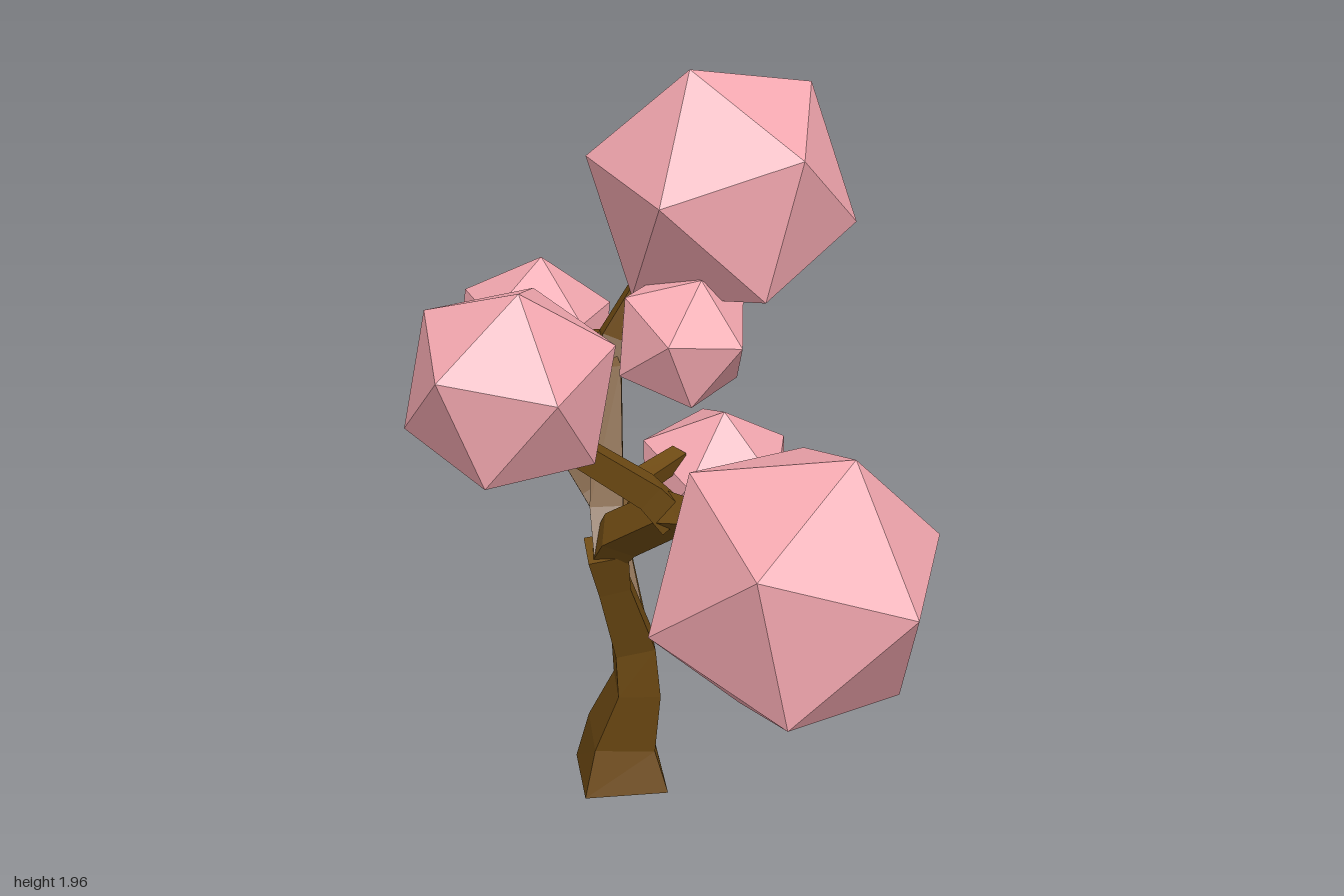
import * as THREE from 'three';

const V = (a) => new THREE.Vector3(...a);

// Four-sided tapering limb; each point is [x, y, z, corner radius]
function limbGeometry(points, ref = [0, 0, 1]) {
  const centres = points.map((p) => V(p.slice(0, 3)));
  const u = V(ref);
  const rings = centres.map((c, i) => {
    const before = centres[Math.max(i - 1, 0)];
    const after = centres[Math.min(i + 1, centres.length - 1)];
    const t = new THREE.Vector3();
    if (i > 0) t.add(c.clone().sub(before).normalize());
    if (i < centres.length - 1) t.add(after.clone().sub(c).normalize());
    t.normalize();
    u.addScaledVector(t, -u.dot(t)).normalize();
    const v = t.clone().cross(u);
    return [0, 1, 2, 3].map((k) => {
      const a = (k * Math.PI) / 2;
      return c.clone()
        .addScaledVector(u, Math.cos(a) * points[i][3])
        .addScaledVector(v, Math.sin(a) * points[i][3]);
    });
  });
  const pos = [];
  const quad = (a, b, c, d) => [a, b, c, a, c, d].forEach((p) => pos.push(p.x, Math.max(p.y, 0), p.z));
  for (let i = 0; i < rings.length - 1; i++) {
    for (let k = 0; k < 4; k++) {
      const n = (k + 1) % 4;
      quad(rings[i][k], rings[i][n], rings[i + 1][n], rings[i + 1][k]);
    }
  }
  quad(...[...rings[0]].reverse());
  quad(...rings[rings.length - 1]);
  const g = new THREE.BufferGeometry();
  g.setAttribute('position', new THREE.Float32BufferAttribute(pos, 3));
  g.computeVertexNormals();
  return g;
}

// Orthonormal frame from two directions
function frame(a, b) {
  const x = a.clone().normalize();
  const y = b.clone().addScaledVector(x, -b.dot(x)).normalize();
  return new THREE.Matrix4().makeBasis(x, y, x.clone().cross(y));
}

// Icosahedron turned so that two neighbouring corners point along a and b
function clumpGeometry(r, a, b) {
  const t = (1 + Math.sqrt(5)) / 2;
  const from = frame(V([0, 1, t]), V([0, -1, t]));
  const turn = frame(V(a), V(b)).multiply(from.transpose());
  return new THREE.IcosahedronGeometry(r, 0).applyMatrix4(turn);
}

export function createModel() {
  const tree = new THREE.Group();
  tree.name = 'tree';
  const bark = new THREE.MeshStandardMaterial({ color: 0x6e4a13, flatShading: true });
  const blossom = new THREE.MeshStandardMaterial({ color: 0xf4a8b0, flatShading: true });

  const add = (name, geometry, material) => {
    const mesh = new THREE.Mesh(geometry, material);
    mesh.name = name;
    tree.add(mesh);
    return mesh;
  };

  // Trunk and limbs
  const limbs = {
    trunk: [[-0.2, 0.005, -0.02, 0.163], [-0.195, 0.14, -0.015, 0.118], [-0.128, 0.32, 0, 0.082],
      [-0.125, 0.46, 0.02, 0.077], [-0.11, 0.68, 0.125, 0.06], [-0.1, 0.8, 0.165, 0.075]],
    leftBranch: [[-0.12, 0.76, 0.15, 0.055], [-0.05, 0.85, 0.17, 0.068], [0.13, 0.97, 0.19, 0.066],
      [0.22, 0.99, 0.21, 0.05], [0.35, 1.0, 0.24, 0.045]],
    frontTwig: [[0.13, 0.96, 0.19, 0.06], [0.1, 1.04, 0.25, 0.052], [0.0, 1.2, 0.43, 0.045]],
    rightBranch: [[-0.09, 0.77, 0.16, 0.06], [-0.14, 0.87, 0.11, 0.062], [-0.34, 1.13, -0.15, 0.055],
      [-0.41, 1.19, -0.2, 0.05], [-0.6, 1.13, -0.28, 0.035]],
    topTwig: [[-0.36, 1.14, -0.17, 0.055], [-0.36, 1.22, -0.21, 0.055], [-0.29, 1.4, -0.28, 0.04]],
    backBranch: [[-0.12, 0.43, 0.01, 0.06], [-0.17, 0.49, -0.03, 0.055], [-0.35, 0.69, -0.18, 0.046],
      [-0.37, 0.74, -0.26, 0.045], [-0.36, 0.77, -0.5, 0.035]],
    sideTwig: [[-0.36, 0.69, -0.18, 0.045], [-0.42, 0.77, -0.17, 0.04], [-0.51, 0.91, -0.14, 0.032]],
  };
  for (const [name, points] of Object.entries(limbs)) add(name, limbGeometry(points), bark);

  // Blossom clumps: name, centre, radius, two corner directions
  const clumps = [
    ['leftClump', [0.62, 0.965, 0.345], 0.381, [0.145, 0.355, -0.025], [0.37, 0.035, 0.05]],
    ['topClump', [-0.174, 1.613, -0.443], 0.375, [-0.01, 0.347, 0.13], [0.326, 0.147, 0.09]],
    ['frontClump', [-0.037, 1.4, 0.607], 0.274, [0.072, 0.263, 0.043], [0.243, 0.039, 0.115]],
    ['rightClump', [-0.787, 1.07, -0.377], 0.246, [0.014, 0.246, -0.023], [0.21, 0.105, 0.047]],
    ['smallClump', [-0.537, 0.967, -0.125], 0.132, [-0.033, 0.123, 0.03], [-0.123, 0.038, -0.01]],
    ['backClump', [-0.336, 0.645, -0.645], 0.248, [0.05, 0.24, 0.025], [0.07, 0.07, 0.23]],
    ['middleClump', [-0.15, 1.255, -0.232], 0.2, [0.08, 0.185, 0.02], [0.193, 0.013, 0]],
  ];
  for (const [name, centre, r, a, b] of clumps) {
    add(name, clumpGeometry(r, a, b), blossom).position.set(...centre);
  }
  return tree;
}
